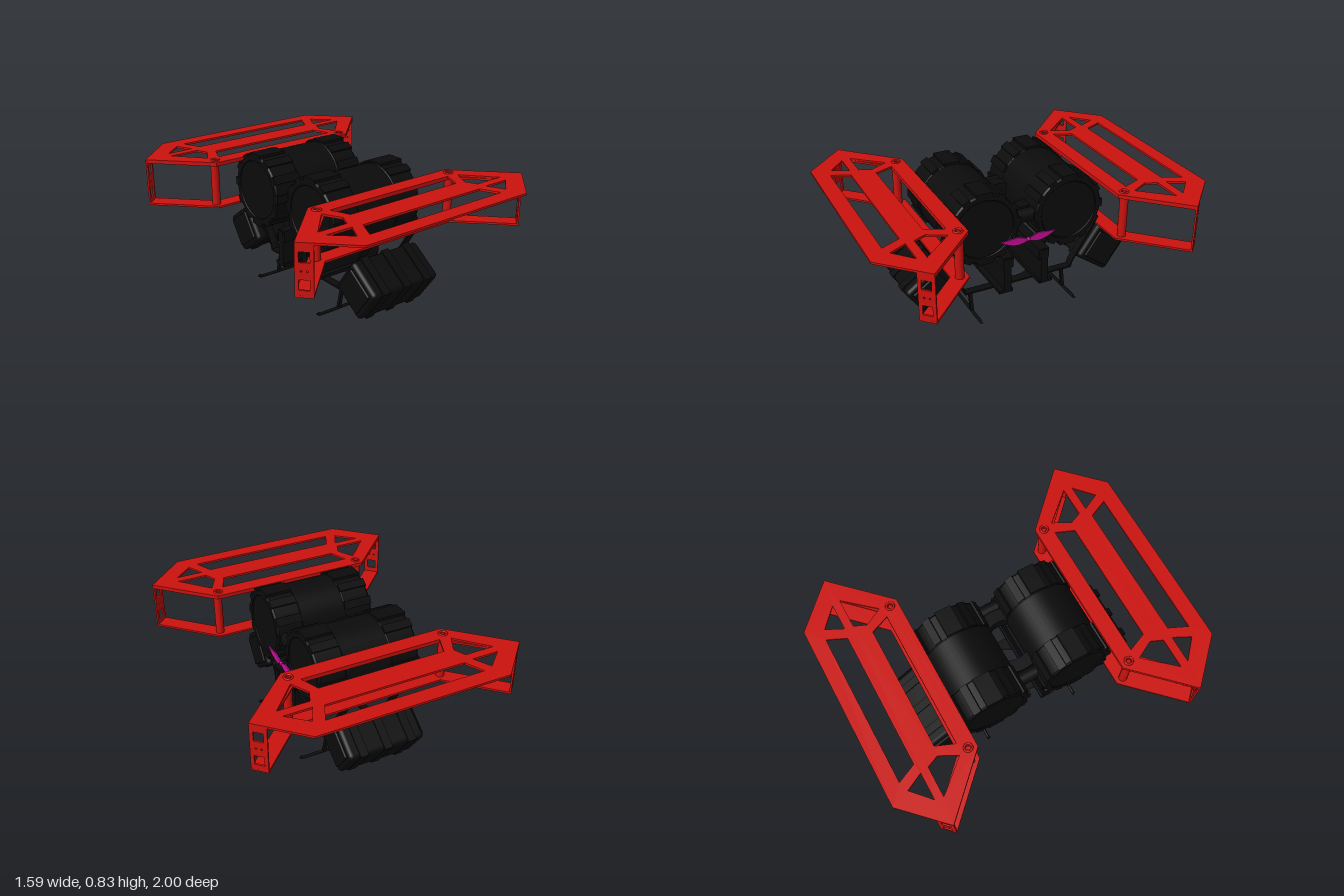
import * as THREE from 'three';
import { RoundedBoxGeometry } from 'three/addons/geometries/RoundedBoxGeometry.js';

const red = new THREE.MeshStandardMaterial({ color: 0xcc120e });
const black = new THREE.MeshStandardMaterial({ color: 0x0b0b0b });
const pink = new THREE.MeshStandardMaterial({ color: 0xcc0f9c, side: THREE.DoubleSide });

function add(parent, name, geometry, material, x = 0, y = 0, z = 0) {
  const mesh = new THREE.Mesh(geometry, material);
  mesh.name = name;
  mesh.position.set(x, y, z);
  parent.add(mesh);
  return mesh;
}

const points = (list) => list.map(([x, y]) => new THREE.Vector2(x, y));
const flip = (list) => list.map(([x, y]) => [-x, y]);
const mirrored = (list) => [...list, ...flip(list).reverse()];

// Horizontal plate from an (x, z) outline; its top lies at y = 0
function plate(outline, holes, thickness) {
  const shape = new THREE.Shape(points(outline));
  holes.forEach((h) => shape.holes.push(new THREE.Path(points(h))));
  return new THREE.ExtrudeGeometry(shape, { depth: thickness, bevelEnabled: false }).rotateX(Math.PI / 2);
}

const circle = (x, z, r, n = 24) => Array.from({ length: n }, (_, i) => {
  const a = (i / n) * Math.PI * 2;
  return [x + r * Math.cos(a), z + r * Math.sin(a)];
});

// Guard frame: pierced top plate, two folded strips, posts and end plates
function guardFrame() {
  const g = new THREE.Group();
  const outerCorner = [[0.52, 0.89], [0.63, 0.79], [0.47, 0.79]];
  const innerCorner = [[0.64, 0.74], [0.46, 0.74], [0.43, 0.67], [0.485, 0.565]];
  const holes = [
    mirrored([[0.46, 0.91], [0.41, 0.8]]),
    mirrored([[0.42, 0.55], [0.375, 0.66]]),
    outerCorner, flip(outerCorner), innerCorner, flip(innerCorner),
    circle(0.47, 0.505, 0.012), circle(-0.47, 0.505, 0.012),
  ];
  add(g, 'topPlate', plate(mirrored([[0.49, 0.455], [0.797, 0.765], [0.56, 1]]), holes, 0.012), red, 0, 0.755, 0);

  const strip = mirrored([[0.45, 0.55], [0.73, 0.83], [0.797, 0.765], [0.49, 0.455]]);
  for (const y of [0.744, 0.478]) add(g, 'edgeStrip', plate(strip, [], 0.012), red, 0, y, 0);

  for (const s of [-1, 1]) {
    add(g, 'post', new THREE.CylinderGeometry(0.025, 0.025, 0.265, 20), red, s * 0.475, 0.605, 0.505);
    add(g, 'postCollar', new THREE.TorusGeometry(0.022, 0.006, 8, 24).rotateX(Math.PI / 2), red, s * 0.47, 0.756, 0.505);

    // End plate with two windows and a few bolt holes
    const end = new THREE.Shape(points([[-0.047, -0.14], [0.047, -0.14], [0.047, 0.14], [-0.047, 0.14]]));
    for (const t of [-1, 1]) {
      const a = t * 0.045, b = t * 0.1;
      end.holes.push(new THREE.Path(points([[-0.027, a], [0.027, a], [0.027, b], [-0.027, b]])));
      end.holes.push(new THREE.Path(points(circle(t * 0.015, 0, 0.005, 10))));
    }
    const geo = new THREE.ExtrudeGeometry(end, { depth: 0.01, bevelEnabled: false }).translate(0, 0, -0.01);
    add(g, 'endPlate', geo, red, s * 0.7635, 0.606, 0.7975).rotation.y = s * Math.PI / 4;
  }
  return g;
}

// Large drum lying along x, with raised lugs around both rims
function drum() {
  const g = new THREE.Group();
  const profile = [[0, -0.335], [0.175, -0.335], [0.18, -0.34], [0.205, -0.34], [0.214, -0.33],
    [0.214, -0.17], [0.21, -0.165], [0.21, 0.115], [0.214, 0.12], [0.214, 0.27], [0.205, 0.28],
    [0.18, 0.28], [0.175, 0.275], [0, 0.275]];
  for (let i = 0; i < profile.length - 1; i++) {
    // Separate bands keep the edges sharp
    add(g, 'drumBody', new THREE.LatheGeometry(points([profile[i], profile[i + 1]]), 48).rotateZ(-Math.PI / 2), black);
  }
  for (let i = 0; i < 12; i++) {
    const a = (i / 12) * Math.PI * 2;
    const width = i % 6 === 0 ? 0.1 : 0.05;
    for (const [x, length] of [[-0.2525, 0.175], [0.2, 0.16]]) {
      const lug = new THREE.BoxGeometry(length, 0.04, width).translate(0, 0.203, 0).rotateX(a);
      add(g, 'rimLug', lug, black, x, 0, 0);
    }
  }
  return g;
}

// Half of the undercarriage on the +z side
function underside() {
  const g = new THREE.Group();

  // Tilted pod with a ridged outer face
  const pod = new THREE.Group();
  pod.name = 'tiltedPod';
  pod.position.set(0.555, 0.24, 0);
  pod.rotation.z = -0.62;
  const holder = new THREE.Group();
  holder.rotation.y = -Math.PI / 2;
  holder.position.x = -0.02;
  holder.add(pod);
  g.add(holder);
  add(pod, 'podBody', new RoundedBoxGeometry(0.245, 0.24, 0.47, 3, 0.025), black);
  for (const z of [-0.15, 0, 0.15]) add(pod, 'podRib', new THREE.BoxGeometry(0.25, 0.255, 0.05), black, 0, 0, z);
  for (const z of [-0.238, 0.238]) add(pod, 'podCap', new RoundedBoxGeometry(0.19, 0.18, 0.02, 2, 0.008), black, 0, 0, z);

  for (const s of [-1, 1]) {
    // Bent bracket that carries the pod
    const path = [[0, 0.145], [0.35, 0.145], [0.36, 0.18], [0.54, 0.465]];
    for (let i = 0; i < path.length - 1; i++) {
      const [z0, y0] = path[i], [z1, y1] = path[i + 1];
      const bar = add(g, 'bracket', new THREE.BoxGeometry(0.05, 0.01, Math.hypot(z1 - z0, y1 - y0) + 0.008),
        black, s * 0.16, (y0 + y1) / 2, (z0 + z1) / 2);
      bar.rotation.x = -Math.atan2(y1 - y0, z1 - z0);
    }
    // Skid leg
    const leg = add(g, 'skidLeg', new THREE.BoxGeometry(0.018, 0.14, 0.02), black, s * 0.153, 0.078, 0.307);
    leg.rotation.z = s * 0.2;
  }

  // Upright housing
  add(g, 'uprightHousing', new THREE.BoxGeometry(0.545, 0.225, 0.045), black, 0, 0.26, 0.12);
  add(g, 'housingFoot', new THREE.BoxGeometry(0.54, 0.02, 0.09), black, 0, 0.155, 0.13);
  add(g, 'housingHead', new THREE.BoxGeometry(0.54, 0.07, 0.065), black, 0, 0.345, 0.115);

  // Skid with turned-up ends
  const runner = [[-0.325, 0.03], [-0.312, 0.012], [-0.28, 0.01], [0, 0.01], [0.28, 0.01], [0.305, 0.012], [0.32, 0.03]];
  const curve = new THREE.CatmullRomCurve3(runner.map(([x, y]) => new THREE.Vector3(x, y, 0)));
  add(g, 'skid', new THREE.TubeGeometry(curve, 48, 0.0095, 10), black, 0, 0, 0.307);
  return g;
}

// Ribbon-like leaf wing in the y-z plane
function wing() {
  const s = new THREE.Shape();
  s.moveTo(0, 0.004);
  s.bezierCurveTo(0.03, 0.012, 0.05, 0.03, 0.085, 0.025);
  s.quadraticCurveTo(0.13, 0.02, 0.175, 0.02);
  s.quadraticCurveTo(0.14, -0.004, 0.11, -0.014);
  s.bezierCurveTo(0.07, -0.03, 0.03, -0.022, 0, -0.004);
  return new THREE.ExtrudeGeometry(s, { depth: 0.008, bevelEnabled: false }).rotateY(-Math.PI / 2);
}

export function createModel() {
  const model = new THREE.Group();
  model.name = 'twinDrumMachine';

  for (const [i, side] of ['front', 'rear'].entries()) {
    const frame = guardFrame();
    frame.name = side + 'GuardFrame';
    frame.rotation.y = i * Math.PI;

    const d = drum();
    d.name = side + 'Drum';
    d.position.set(0, 0.604, i ? -0.265 : 0.265);

    const under = underside();
    under.name = side + 'Undercarriage';
    if (i) {
      under.rotation.y = Math.PI;
      under.children.filter((c) => c.type === 'Group').forEach((c) => { c.position.x = 0.02; });
    }
    model.add(frame, d, under);
  }

  // Coupling between the drums, open in the middle
  add(model, 'couplingRing', plate(circle(0, 0, 0.2, 48), [circle(0, 0, 0.125, 48)], 0.08), black, 0, 0.648, 0);
  for (const s of [-1, 1]) {
    add(model, 'couplingLink', new THREE.CylinderGeometry(0.04, 0.04, 0.16, 20).rotateX(Math.PI / 2), black, s * 0.23, 0.608, 0);
  }
  add(model, 'baseRing', plate(circle(0, 0, 0.17, 48), [circle(0, 0, 0.13, 48)], 0.01), black, 0, 0.15, 0);

  // Side ornament
  for (const s of [0, 1]) {
    const w = add(model, 'bowWing', wing(), pink, s ? 0.286 : 0.294, 0.485, 0);
    w.rotation.y = s * Math.PI;
  }
  add(model, 'bowKnot', new THREE.SphereGeometry(0.012, 16, 10), pink, 0.288, 0.483, 0);
  return model;
}
